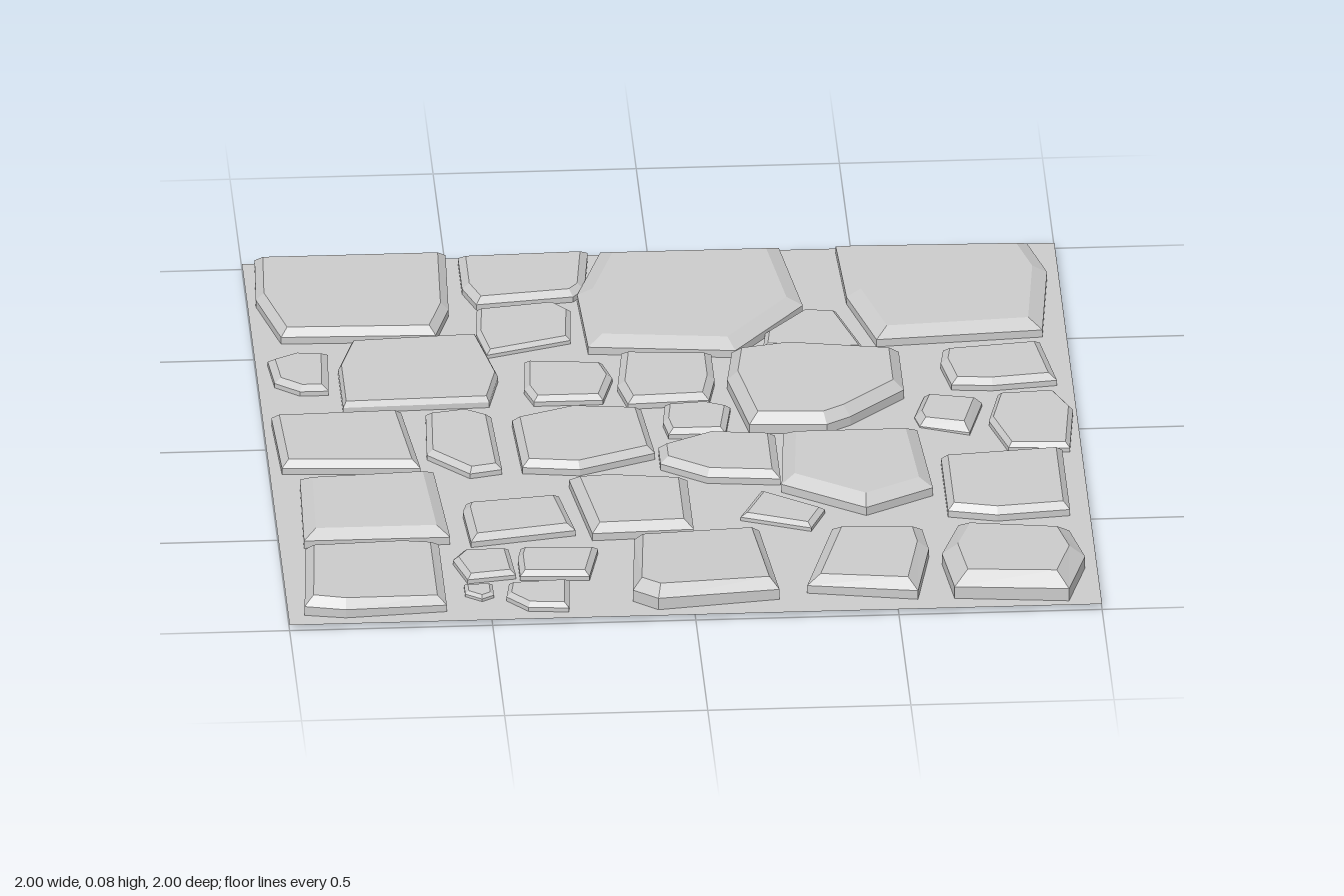
import * as THREE from 'three';

const GROUND = 0.015;
const material = new THREE.MeshStandardMaterial({ color: 0xcccccc, flatShading: true });
const groundMaterial = new THREE.MeshStandardMaterial({ color: 0xcccccc, side: THREE.DoubleSide });

// moves every edge of a clockwise outline inwards by d
function insetOutline(pts, d) {
  const n = pts.length;
  const inward = (a, b) => new THREE.Vector2(a.y - b.y, b.x - a.x).normalize();
  return pts.map((p, i) => {
    const n1 = inward(pts[(i + n - 1) % n], p);
    const n2 = inward(p, pts[(i + 1) % n]);
    const miter = n1.clone().add(n2);
    return p.clone().addScaledVector(miter, d / (1 + n1.dot(n2)));
  });
}

// one stone: outline in hundredths (x, z pairs, clockwise from above), upright
// wall, chamfer of width bevel, and a flat top that may tilt along x and z
function stone(outline, height, bevel, tiltX = 0, tiltZ = 0, base = GROUND + 0.001) {
  const pts = [];
  for (let i = 0; i < outline.length; i += 2) pts.push(new THREE.Vector2(outline[i] / 100, outline[i + 1] / 100));
  const n = pts.length;
  const c = pts.reduce((s, p) => s.add(p), new THREE.Vector2()).divideScalar(n);
  const slope = (p) => tiltX * (p.x - c.x) + tiltZ * (p.y - c.y);
  const wall = base + (height - base) * 0.5;
  const rings = [
    pts.map((p) => [p.x, base, p.y]),
    pts.map((p) => [p.x, wall + slope(p) * 0.5, p.y]),
    insetOutline(pts, bevel).map((p) => [p.x, height + slope(p), p.y]),
  ];
  const index = [];
  for (let r = 0; r < 2; r++) {
    for (let i = 0; i < n; i++) {
      const a = r * n + i, b = r * n + (i + 1) % n;
      index.push(a, a + n, b, b, a + n, b + n);
    }
  }
  // top and underside
  for (let i = 1; i < n - 1; i++) {
    index.push(2 * n, 2 * n + i + 1, 2 * n + i);
    index.push(0, i, i + 1);
  }
  const geo = new THREE.BufferGeometry();
  geo.setAttribute('position', new THREE.Float32BufferAttribute(rings.flat(2), 3));
  geo.setIndex(index);
  const flat = geo.toNonIndexed();
  flat.computeVertexNormals();
  const mesh = new THREE.Mesh(flat, material);
  mesh.name = 'pavingStone';
  return mesh;
}

export function createModel() {
  const model = new THREE.Group();
  model.name = 'stonePaving';

  const ground = new THREE.Mesh(new THREE.PlaneGeometry(2, 2).rotateX(-Math.PI / 2), groundMaterial);
  ground.position.y = GROUND;
  ground.name = 'ground';
  model.add(ground);

  const rows = {
    backRow: [
      stone([-97, -98, -50, -98, -51, -68, -55, -54, -93, -55, -98, -76], 0.053, 0.02),
      stone([-47, -97, -15, -98, -17, -78, -20, -74, -44, -71, -47, -80], 0.045, 0.018),
      stone([-44, -69, -25, -72, -21, -67, -22, -51, -43, -44, -45, -56], 0.035, 0.012),
      stone([-12, -97, 32, -97, 36, -65, 18, -41, -18, -45, -19, -74], 0.055, 0.038),
      stone([46, -97, 93, -96, 97, -80, 94, -48, 53, -45, 47, -69], 0.055, 0.036),
      stone([36, -64, 44, -63, 50, -41, 25, -44, 26, -52], 0.035, 0.011),
    ],
    backMiddleRow: [
      stone([-97, -43, -90, -47, -82, -46, -83, -26, -90, -26, -96, -31], 0.04, 0.017),
      stone([-76, -51, -45, -53, -41, -31, -44, -17, -80, -16, -80, -37], 0.045, 0.008),
      stone([-34, -39, -15, -37, -13, -29, -16, -17, -33, -17, -35, -24], 0.04, 0.014),
      stone([-10, -42, 12, -40, 12, -26, 10, -15, -10, -14, -12, -24], 0.045, 0.018),
      stone([17, -39, 31, -42, 58, -37, 58, -16, 44, -2, 38, 2, 19, 1, 15, -24], 0.064, 0.026),
      stone([69, -39, 93, -42, 96, -21, 80, -19, 70, -20, 68, -32], 0.045, 0.018),
    ],
    middleRow: [
      stone([-98, -11, -66, -12, -63, 19, -97, 17], 0.05, 0.018),
      stone([-60, -11, -50, -13, -44, -9, -43, 20, -51, 22, -61, 11], 0.042, 0.015),
      stone([-39, -6, -24, -12, -7, -10, -5, 14, -24, 22, -38, 20], 0.05, 0.018),
      stone([-1, -13, 9, -14, 15, -11, 13, 3, -1, 3, -2, -4], 0.04, 0.014),
      // small stone sunk through the ground
      stone([63, -16, 77, -11, 73, 5, 61, 0, 60, -5], 0.04, 0.018, 0.06, 0, 0),
      stone([81, -14, 95, -15, 99, -5, 97, 16, 82, 15, 78, 0], 0.04, 0.011),
    ],
    frontMiddleRow: [
      stone([-4, 11, 9, 4, 25, 6, 25, 30, 7, 28, -4, 20], 0.05, 0.02),
      stone([27, 6, 60, 6, 62, 38, 45, 48, 25, 34], 0.06, 0.032),
      stone([65, 21, 95, 18, 95, 51, 77, 53, 65, 50], 0.05, 0.016),
      stone([-93, 24, -60, 22, -58, 58, -94, 58], 0.056, 0.03),
      stone([-53, 39, -30, 36, -27, 55, -53, 60, -54, 43], 0.045, 0.018),
      stone([-27, 28, -17, 27, 2, 30, 2, 57, -23, 58], 0.055, 0.023),
      stone([20, 35, 35, 46, 31, 56, 14, 49], 0.035, 0.013),
    ],
    frontRow: [
      stone([-94, 63, -70, 60, -61, 61, -61, 95, -86, 97, -96, 95], 0.056, 0.022, -0.035, 0.01),
      stone([-55, 64, -44, 64, -43, 78, -55, 80, -58, 69], 0.038, 0.013),
      stone([-41, 64, -22, 65, -25, 80, -42, 79, -42, 69], 0.04, 0.013),
      stone([-56, 82, -49, 82, -49, 88, -52, 90, -56, 87], 0.03, 0.009),
      stone([-45, 83, -30, 82, -31, 97, -41, 96, -46, 90], 0.038, 0.012),
      stone([-13, 63, 18, 59, 21, 93, -9, 97, -15, 92], 0.07, 0.022, -0.02, 0.04),
      stone([36, 59, 58, 61, 59, 72, 55, 95, 28, 90], 0.06, 0.028, 0.02, 0.01),
      stone([67, 60, 94, 65, 97, 80, 92, 98, 64, 95, 62, 76], 0.076, 0.038, 0.01, 0.03),
    ],
  };
  for (const [name, stones] of Object.entries(rows)) {
    const row = new THREE.Group();
    row.name = name;
    row.add(...stones);
    model.add(row);
  }
  return model;
}
